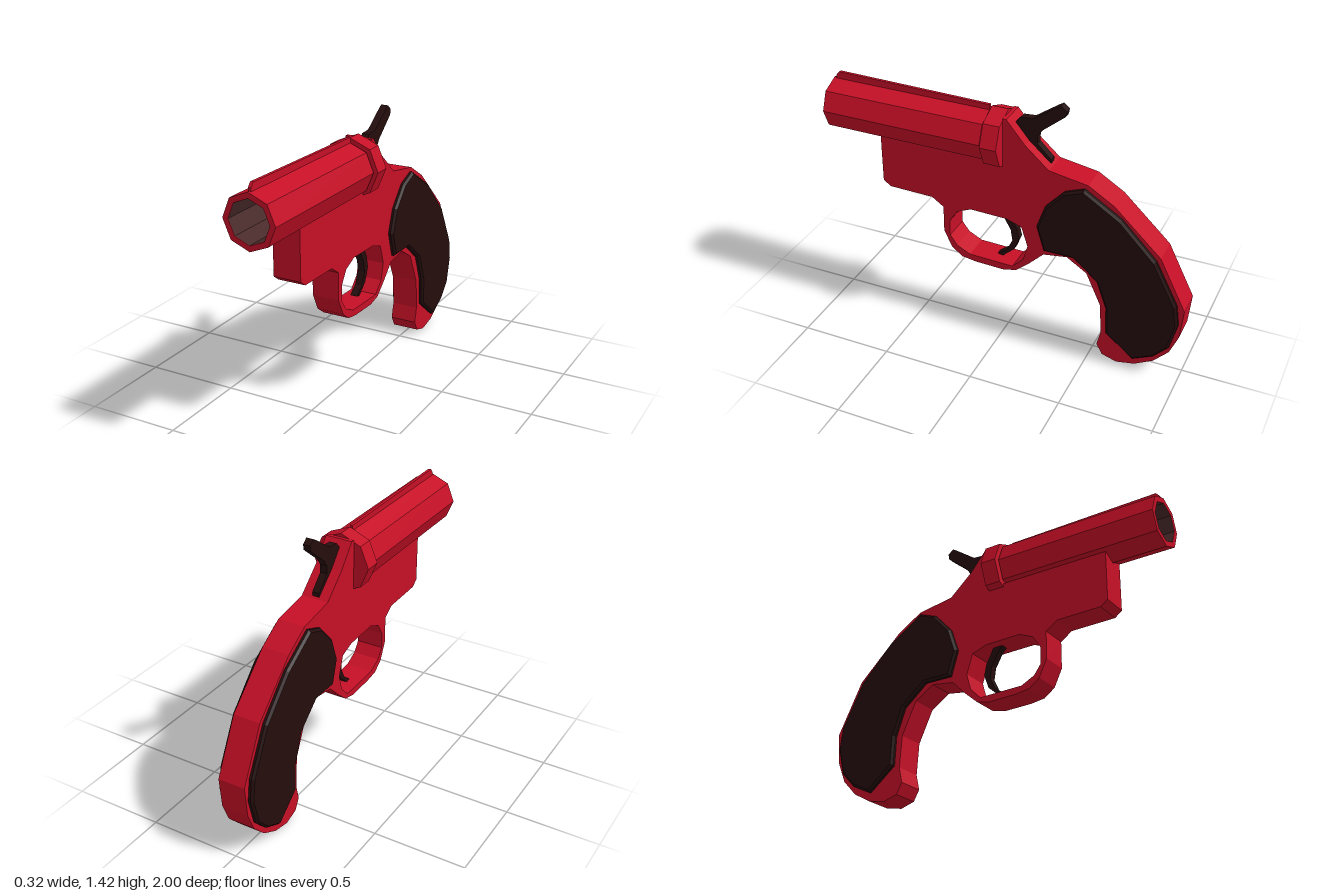
import * as THREE from 'three';

const mat = (name, color) => Object.assign(new THREE.MeshStandardMaterial({ color }), { name });
const toShape = (pts) => new THREE.Shape(pts.map(([a, b]) => new THREE.Vector2(a, b)));

// Side profile given as [z, y], extruded to the given width and centred on x = 0
function profile(name, material, pts, width, { hole, bevel = 0 } = {}) {
  const shape = toShape(pts);
  if (hole) shape.holes.push(toShape(hole));
  const depth = width - 2 * bevel;
  const geo = new THREE.ExtrudeGeometry(shape, {
    depth, bevelEnabled: bevel > 0, bevelThickness: bevel, bevelSize: bevel, bevelOffset: -bevel, bevelSegments: 1,
  });
  geo.translate(0, 0, -depth / 2).rotateY(-Math.PI / 2);
  const mesh = new THREE.Mesh(geo, material);
  mesh.name = name;
  return mesh;
}

// Octagon with corners on the axes
const octagon = (r) => Array.from({ length: 8 }, (_, i) => {
  const a = (i * Math.PI) / 4;
  return [r * Math.cos(a), r * Math.sin(a)];
});

// Octagonal prism along z, optionally bored through
function prism(name, material, radius, z0, z1, bore) {
  const shape = toShape(octagon(radius));
  if (bore) shape.holes.push(toShape(octagon(bore)));
  const mesh = new THREE.Mesh(new THREE.ExtrudeGeometry(shape, { depth: z1 - z0, bevelEnabled: false }), material);
  mesh.position.set(0, 1.18, z0);
  mesh.name = name;
  return mesh;
}

export function createModel() {
  const red = mat('red shell', 0xc60f26);
  const black = mat('dark grip', 0x250d0d);
  const brown = mat('bore brown', 0x4a2a2a);
  brown.side = THREE.DoubleSide;
  brown.flatShading = true;
  const model = new THREE.Group();
  model.name = 'flareLauncher';

  // Frame, guard and handle in one silhouette
  model.add(profile('frame', red, [
    [0.70, 1.07], [0.70, 0.80], [0.66, 0.77], [0.41, 0.765], [0.345, 0.72], [0.345, 0.57], [0.30, 0.475],
    [0.24, 0.43], [0.16, 0.418], [0, 0.413], [-0.075, 0.43], [-0.15, 0.495], [-0.23, 0.575], [-0.36, 0.595],
    [-0.47, 0.525], [-0.553, 0.345], [-0.565, 0.17], [-0.545, 0.085], [-0.578, 0.025], [-0.66, 0],
    [-0.76, 0.02], [-0.86, 0.075], [-0.94, 0.16], [-0.985, 0.27], [-1, 0.44], [-0.855, 0.725], [-0.60, 0.965],
    [-0.46, 1.05], [-0.25, 1.085], [-0.12, 1.2], [-0.02, 1.32], [0, 1.32], [0.005, 1.07],
  ], 0.15, {
    hole: [
      [0.31, 0.64], [0.265, 0.71], [0.185, 0.745], [-0.02, 0.74], [-0.105, 0.71], [-0.14, 0.60],
      [-0.115, 0.51], [-0.055, 0.45], [0.195, 0.457], [0.27, 0.495], [0.31, 0.55],
    ],
  }));

  // Bevelled grip panel on each side
  for (const side of [-1, 1]) {
    const panel = profile(side > 0 ? 'leftGripPanel' : 'rightGripPanel', black, [
      [-0.195, 0.75], [-0.237, 0.61], [-0.40, 0.61], [-0.535, 0.497], [-0.59, 0.345], [-0.597, 0.185],
      [-0.75, 0.062], [-0.86, 0.115], [-0.94, 0.20], [-0.977, 0.35], [-0.96, 0.47], [-0.835, 0.71],
      [-0.645, 0.905], [-0.445, 1.03], [-0.34, 0.99], [-0.24, 0.88],
    ], 0.04, { bevel: 0.012 });
    panel.position.x = side * 0.08;
    model.add(panel);
  }

  // Barrel, its dark bore, breech collar and sighting rib
  model.add(prism('barrel', red, 0.14, 0.1, 1, 0.11));
  const bore = new THREE.Mesh(new THREE.CylinderGeometry(0.109, 0.109, 0.898, 8, 1, true), brown);
  bore.geometry.rotateX(Math.PI / 2);
  bore.position.set(0, 1.18, 0.55);
  bore.name = 'bore';
  model.add(bore);
  model.add(prism('breechCollar', red, 0.16, 0, 0.09));
  model.add(profile('sightRib', red, [
    [0.985, 1.3], [0.985, 1.335], [0.965, 1.357], [0.1, 1.345], [0.1, 1.3],
  ], 0.016));

  // Hammer and trigger
  model.add(profile('hammer', black, [
    [-0.04, 1.28], [-0.075, 1.32], [-0.14, 1.325], [-0.26, 1.41], [-0.285, 1.425], [-0.315, 1.40],
    [-0.31, 1.37], [-0.19, 1.27], [-0.165, 1.235], [-0.165, 1.19], [-0.24, 1.115], [-0.24, 1.07],
    [-0.15, 1.07], [-0.05, 1.2],
  ], 0.04));
  model.add(profile('trigger', black, [
    [0.06, 0.76], [0, 0.76], [-0.055, 0.655], [-0.068, 0.595], [-0.04, 0.52], [0.025, 0.462],
    [0.055, 0.468], [0, 0.51], [-0.03, 0.575], [-0.02, 0.64], [0.02, 0.71],
  ], 0.04));

  return model;
}
